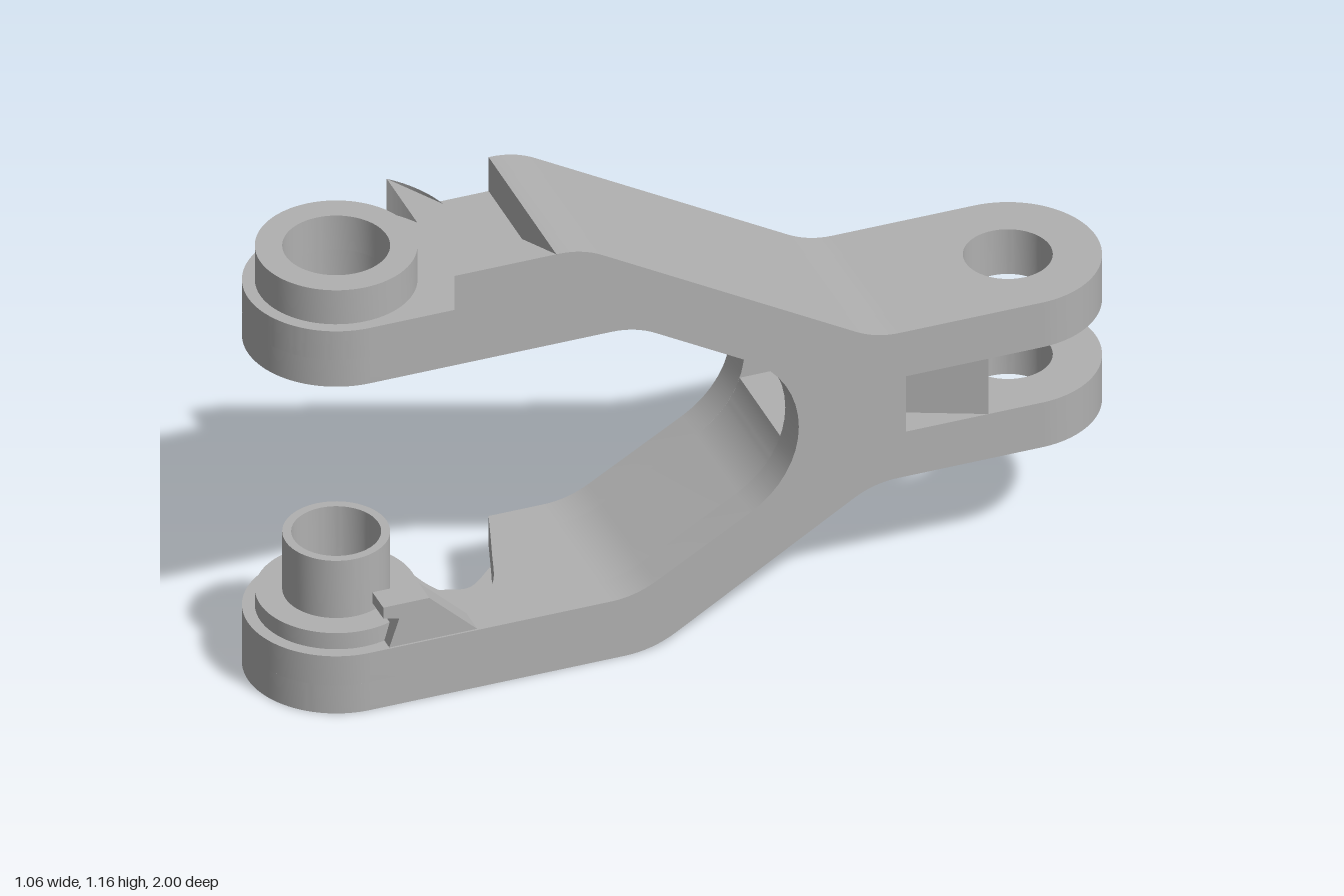
import * as THREE from 'three';
import { toCreasedNormals } from 'three/addons/utils/BufferGeometryUtils.js';

// Local frame: x runs along the link (front eye at +END), y up, w across (w = -z).
const END = 0.84, HALF = 0.22, MID = 0.5375, PI = Math.PI;
const WINDOW = 0.132, SLOT_LOW = 0.46, SLOT_HIGH = 0.615;

// Turns corners [x, y, trim] into points, rounding those that have a trim length
function roundCorners(corners) {
  const out = [];
  corners.forEach(([x, y, trim], i) => {
    const p = new THREE.Vector2(x, y);
    if (!trim) { out.push(p); return; }
    const toward = ([a, b]) =>
      new THREE.Vector2(a, b).sub(p).setLength(trim).add(p);
    const a = toward(corners[i - 1]), b = toward(corners[i + 1]);
    out.push(...new THREE.QuadraticBezierCurve(a, p, b).getPoints(8));
  });
  return out;
}

// Crotch of the fork, as points between two angles in degrees
function crotch(from, to) {
  return Array.from({ length: 17 }, (_, i) => {
    const a = THREE.MathUtils.degToRad(from + (to - from) * i / 16);
    return [0.0125 + 0.245 * Math.cos(a), MID + 0.245 * Math.sin(a)];
  });
}

function circle(x, r, Type = THREE.Path) {
  const c = new Type();
  c.absarc(x, 0, r, 0, 2 * PI, false);
  return c;
}

// Plan of an arm end: straight start, optional bay cut into the -w side, round eye
function armPlan(start, bay) {
  const s = new THREE.Shape();
  s.moveTo(start, -HALF);
  if (bay) {
    s.lineTo(bay[0][0], bay[0][1]);
    s.splineThru(bay.slice(1).map(([x, w]) => new THREE.Vector2(x, w)));
    const last = bay[bay.length - 1];
    const a = Math.atan2(last[1], last[0] - END);
    s.absarc(END, 0, HALF, a, PI / 2, false);
  } else {
    s.lineTo(END, -HALF);
    s.absarc(END, 0, HALF, -PI / 2, PI / 2, false);
  }
  s.lineTo(start, HALF);
  return s;
}

export function createModel() {
  const model = new THREE.Group();
  model.name = 'forkedLink';
  model.rotation.y = Math.atan2(-1.56, -0.62);
  const grey = new THREE.MeshStandardMaterial({ color: 0xb0b0b0 });
  grey.name = 'grey';

  function add(name, geometry) {
    const mesh = new THREE.Mesh(toCreasedNormals(geometry, 0.5), grey);
    mesh.name = name;
    model.add(mesh);
  }
  const extrude = (shape, depth) =>
    new THREE.ExtrudeGeometry(shape, { depth, bevelEnabled: false, curveSegments: 40 });

  // Side profile extruded across the link from w0 to w1
  const across = (name, shape, w0, w1) =>
    add(name, extrude(shape, w1 - w0).translate(0, 0, -w1));

  // Plan outline extruded upward from y0 to y1
  function plate(name, shape, y0, y1, ...holes) {
    shape.holes.push(...holes);
    add(name, extrude(shape, y1 - y0).rotateX(-PI / 2).translate(0, y0, 0));
  }

  // Fork body: full-height cheeks with a window between them
  const lower = [[-0.5, 0.335], [-0.42, 0.335, 0.06], [0.133, 0, 0.07], [0.24, 0],
    [0.24, 0.16], [0.177, 0.16, 0.06]];
  const upper = [[0.177, 0.915, 0.06], [0.374, 0.915], [0.374, 1.165],
    [0.31, 1.165, 0.06], [-0.426, 0.74, 0.06], [-0.5, 0.74]];
  const profile = corners => new THREE.Shape(roundCorners(corners));
  const edge = THREE.MathUtils.radToDeg(Math.asin((SLOT_HIGH - MID) / 0.245));
  for (const [name, w0, w1] of [['rightCheek', -HALF, -WINDOW], ['leftCheek', WINDOW, HALF]]) {
    across(name, profile([...lower, ...crotch(240, 120), ...upper]), w0, w1);
  }
  across('lowerFork', profile([...lower, ...crotch(240, 180 + edge), [-0.5, SLOT_LOW]]),
    -WINDOW, WINDOW);
  across('upperFork', profile([[-0.5, SLOT_HIGH], ...crotch(180 - edge, 120), ...upper]),
    -WINDOW, WINDOW);

  // Rear clevis: two eyes, with the slot walls between them
  for (const [name, y0, y1] of [['lowerClevis', 0.335, SLOT_LOW], ['upperClevis', SLOT_HIGH, 0.74]]) {
    const s = new THREE.Shape();
    s.moveTo(-0.5, HALF);
    s.lineTo(-END, HALF);
    s.absarc(-END, 0, HALF, PI / 2, 1.5 * PI, false);
    s.lineTo(-0.5, -HALF);
    plate(name, s, y0, y1, circle(-END, 0.105));
  }
  const slotR = 0.257;
  for (const side of [-1, 1]) {
    const s = new THREE.Shape();
    s.moveTo(-0.5, side * HALF);
    s.absarc(-END, 0, slotR, side * Math.asin(HALF / slotR),
      side * Math.asin(WINDOW / slotR), side > 0);
    s.lineTo(-0.5, side * WINDOW);
    plate(side < 0 ? 'rightSlotWall' : 'leftSlotWall', s, SLOT_LOW, SLOT_HIGH);
  }

  // Arm ends, layered where the clearance bay changes outline
  const deepBay = [[0.374, -HALF], [0.42, -0.08], [0.463, 0.04], [0.51, 0.075],
    [0.57, 0.06], [0.61, 0], [0.633, -0.075]];
  const shallowBay = [[0.24, -HALF], [0.36, -0.17], [0.47, -0.075], [0.53, -0.08],
    [0.6, -0.1], [0.645, -0.102]];
  const bore = () => circle(END, 0.126);
  plate('lowerArmBase', armPlan(0.24, shallowBay), 0, 0.078, bore());
  plate('lowerArmTop', armPlan(0.24, deepBay), 0.078, 0.16, bore());
  plate('upperArmBase', armPlan(0.374, deepBay), 0.915, 0.99, bore());
  plate('upperArmTop', armPlan(0.374), 0.99, 1.07, bore());

  // Raised pad on the upper arm, hollowed around the eye
  const pad = new THREE.Shape();
  const phi = Math.asin(HALF / 0.305);
  pad.moveTo(0.374, -HALF);
  pad.absarc(END, 0, 0.305, PI + phi, PI - phi, true);
  pad.lineTo(0.374, HALF);
  plate('raisedPad', pad, 1.07, 1.165);

  // Boss, collar and hollow pin
  plate('upperBoss', circle(END, 0.19, THREE.Shape), 1.07, 1.165, bore());
  plate('pinCollar', circle(END, 0.19, THREE.Shape), 0.16, 0.205, circle(END, 0.105));
  plate('hollowPin', circle(END, 0.126, THREE.Shape), 0.205, 0.365, circle(END, 0.105));

  // Snap hook beside the pin
  across('snapHook', profile([[0.57, 0.16], [0.79, 0.16], [0.765, 0.235], [0.805, 0.245],
    [0.805, 0.275], [0.69, 0.275]]), 0.145, 0.215);

  const group = new THREE.Group();
  group.add(model);
  return group;
}
